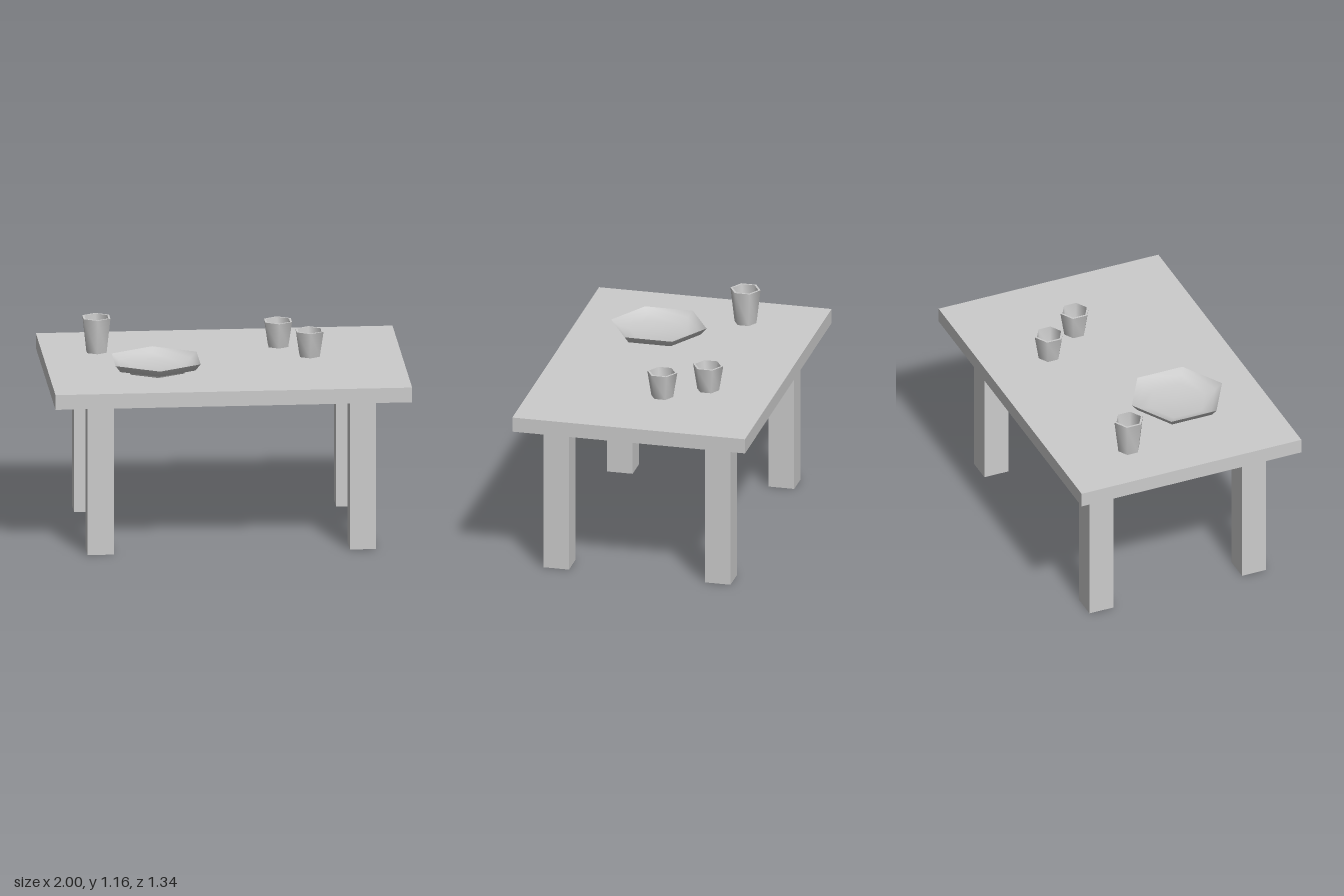
import * as THREE from 'three';
import { toCreasedNormals } from 'three/addons/utils/BufferGeometryUtils.js';

const TOP = 0.965; // height of the table surface

export function createModel() {
  const model = new THREE.Group();
  const material = new THREE.MeshStandardMaterial({ color: 0xcccccc });

  const add = (name, geometry, x, y, z) => {
    const mesh = new THREE.Mesh(geometry, material);
    mesh.name = name;
    mesh.position.set(x, y, z);
    model.add(mesh);
  };

  // Six-sided turned shape: smooth around, sharp at rims and bases
  const turned = (profile) => toCreasedNormals(
    new THREE.LatheGeometry(profile.map(([r, y]) => new THREE.Vector2(r, y)), 6), 1.15);

  // Table top and four square legs
  add('tableTop', new THREE.BoxGeometry(2, 0.085, 1.34), 0, TOP - 0.0425, 0);
  const legHeight = 0.88;
  for (const [side, sx] of [['left', 1], ['right', -1]]) {
    for (const [end, sz] of [['Front', 1], ['Back', -1]]) {
      add(`${side}${end}Leg`, new THREE.BoxGeometry(0.147, legHeight, 0.147),
        sx * 0.735, legHeight / 2, sz * 0.465);
    }
  }

  // Shallow plate with a low foot and flared rim
  add('plate', turned([
    [0, 0], [0.175, 0], [0.178, 0.009], [0.243, 0.025], [0.275, 0.064],
    [0.235, 0.035], [0.17, 0.019], [0, 0.017],
  ]), -0.395, TOP, 0.175);

  // Hollow tapered cups
  const cup = (height) => turned([
    [0, 0], [0.063, 0], [0.087, height], [0.074, height], [0.05, 0.015], [0, 0.015],
  ]);
  add('tallCup', cup(0.2), -0.695, TOP, -0.25);
  add('shortCupBack', cup(0.147), 0.327, TOP, -0.29);
  add('shortCupFront', cup(0.147), 0.485, TOP, -0.065);

  return model;
}
